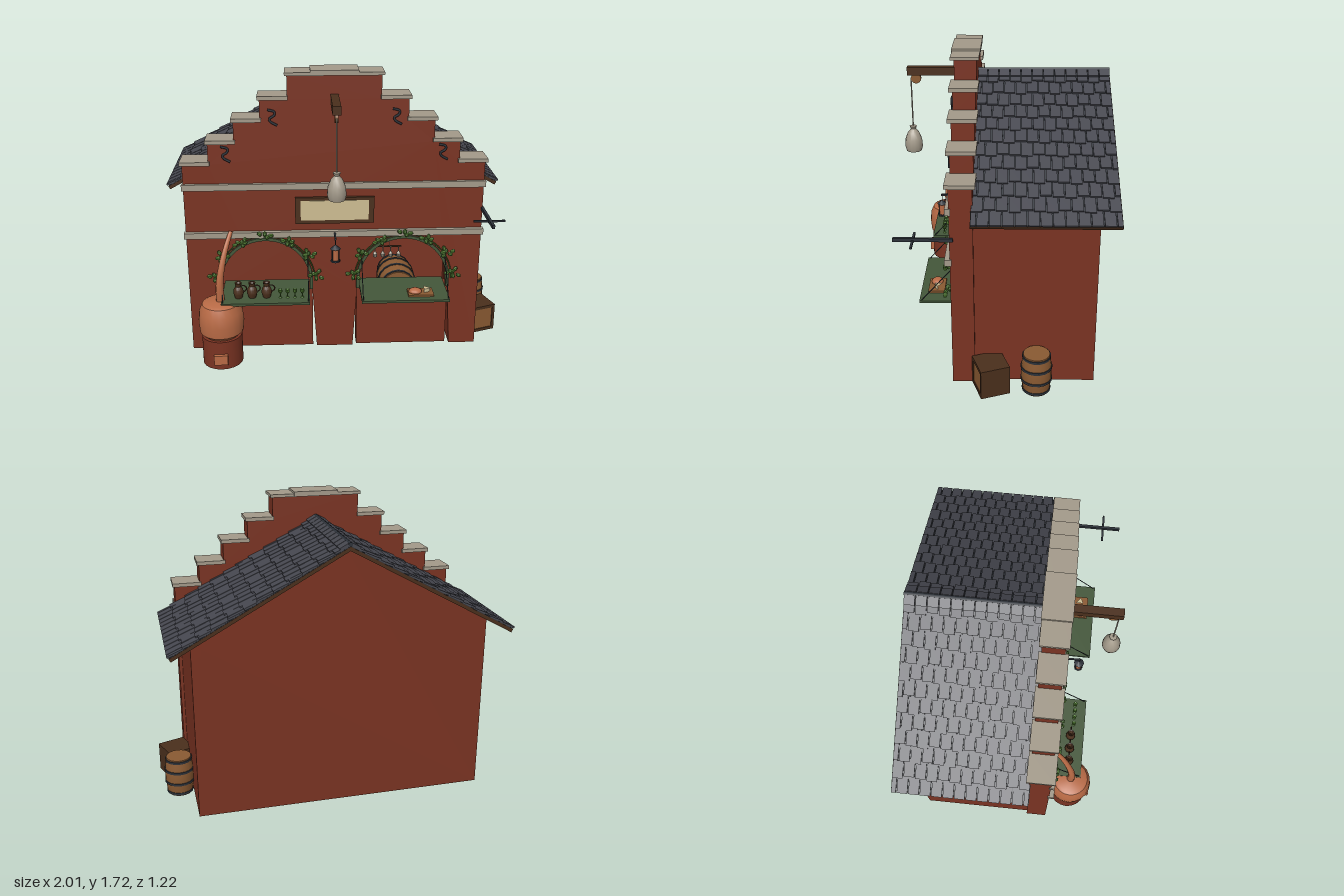
import * as THREE from 'three';
import { mergeGeometries, toCreasedNormals } from 'three/addons/utils/BufferGeometryUtils.js';

const mat = (name, color) => Object.assign(new THREE.MeshStandardMaterial({ color }), { name });
const brick = mat('brick', 0x7a3322), stone = mat('stone', 0xa39a8a), slate = mat('slate', 0x46474f);
const iron = mat('iron', 0x2d3239), darkWood = mat('dark wood', 0x4a2f1c), oak = mat('oak', 0x8a5a32);
const copper = mat('copper', 0xb86a45), green = mat('painted green', 0x44573a);
const leafGreen = mat('leaf green', 0x4f7a30), cream = mat('cream', 0xcdbd92);

const CX = -0.03;            // centre line of the building
const FRONT = 0.29, BACK = 0.165; // front and back of the facade

function add(parent, name, geo, material, x = 0, y = 0, z = 0) {
  const m = new THREE.Mesh(geo, material);
  m.name = name;
  m.position.set(x, y, z);
  parent.add(m);
  return m;
}
function group(parent, name, x = 0, y = 0, z = 0) {
  const g = new THREE.Group();
  g.name = name;
  g.position.set(x, y, z);
  parent.add(g);
  return g;
}
// box given by its extents
function block(parent, name, material, x0, x1, y0, y1, z0, z1) {
  return add(parent, name, new THREE.BoxGeometry(x1 - x0, y1 - y0, z1 - z0), material,
    (x0 + x1) / 2, (y0 + y1) / 2, (z0 + z1) / 2);
}
const lathe = (pts, n = 16) => toCreasedNormals(
  new THREE.LatheGeometry(pts.map(p => new THREE.Vector2(...p)), n), 0.6);
const v3 = p => new THREE.Vector3(...p);
// round tube along points, narrowing from r0 to r1
function pipe(pts, r0, r1 = r0, sides = 6, steps = 14) {
  const curve = new THREE.CatmullRomCurve3(pts.map(v3));
  const g = new THREE.TubeGeometry(curve, steps, r0, sides);
  const p = g.attributes.position, v = new THREE.Vector3();
  for (let i = 0; i < p.count; i++) {
    const t = Math.floor(i / (sides + 1)) / steps, c = curve.getPointAt(t);
    v.fromBufferAttribute(p, i).sub(c).multiplyScalar(1 + (r1 / r0 - 1) * t).add(c);
    p.setXYZ(i, v.x, v.y, v.z);
  }
  return g;
}
function barrel(parent, name, h, r) {
  const g = group(parent, name), e = r * 0.86;
  const at = t => e + (r - e) * Math.sin(Math.PI * t);
  const prof = [0, 0.2, 0.4, 0.6, 0.8, 1].map(t => [at(t), t * h]);
  add(g, 'staves', lathe([[0, 0], ...prof, [0, h]], 18), oak);
  for (const t of [0.06, 0.34, 0.66, 0.94])
    add(g, 'hoop', new THREE.CylinderGeometry(at(t) + 0.004, at(t) + 0.004, h * 0.06, 18), iron, 0, t * h, 0);
  return g;
}

function facade(root) {
  const g = group(root, 'facade', CX);
  // stepped outline with two arched openings reaching the ground
  const steps = [[0.87, 1.18], [0.72, 1.305], [0.57, 1.43], [0.42, 1.555], [0.265, 1.69]];
  const s = new THREE.Shape();
  s.moveTo(-0.87, 0);
  for (const c of [-0.41, 0.41]) {
    s.lineTo(c - 0.3, 0); s.lineTo(c - 0.275, 0.39); s.lineTo(c - 0.27, 0.45);
    s.absarc(c, 0.45, 0.27, Math.PI, 0, true);
    s.lineTo(c + 0.275, 0.39); s.lineTo(c + 0.3, 0);
  }
  s.lineTo(0.87, 0);
  for (const [w, y] of steps) { s.lineTo(w, y); const n = steps.find(q => q[1] > y); if (n) s.lineTo(n[0], y); }
  for (const [w, y] of [...steps].reverse()) { const n = steps.find(q => q[1] > y); if (n) s.lineTo(-n[0], y); s.lineTo(-w, y); }
  add(g, 'steppedWall', new THREE.ExtrudeGeometry(s, { depth: FRONT - BACK, bevelEnabled: false, curveSegments: 20 }), brick, 0, 0, BACK);
  // stone caps on each step
  steps.forEach(([w, y], i) => {
    if (i === 4) return;
    for (const k of [-1, 1]) {
      const a = k * (w + 0.012), b = k * (w - 0.16);
      block(g, 'stepCap', stone, Math.min(a, b), Math.max(a, b), y, y + 0.022, 0.15, 0.31);
    }
  });
  block(g, 'topCap', stone, -0.278, 0.278, 1.69, 1.708, 0.15, 0.31);
  block(g, 'crownCap', stone, -0.135, 0.135, 1.695, 1.72, 0.147, 0.313);
  block(g, 'upperBand', stone, -0.878, 0.878, 1.03, 1.068, 0.28, 0.31);
  block(g, 'lowerBand', stone, -0.878, 0.878, 0.737, 0.773, 0.28, 0.318);
  // sign board
  block(g, 'signFrame', darkWood, -0.23, 0.23, 0.82, 0.98, FRONT, 0.31);
  block(g, 'signPanel', cream, -0.198, 0.198, 0.842, 0.963, 0.308, 0.314);
  // wrought wall anchors
  for (const [x, y] of [[-0.35, 1.455], [0.35, 1.455], [-0.62, 1.245], [0.62, 1.245]])
    add(g, 'wallAnchor', pipe([[-0.025, 0.045, 0], [0.015, 0.032, 0], [0.012, 0.012, 0], [-0.014, -0.006, 0],
      [-0.01, -0.022, 0], [0.028, -0.045, 0]], 0.007, 0.007, 6, 20), iron, x, y, 0.298);
}

function stall(root, x, name) {
  const g = group(root, name, x);
  block(g, 'counterPanel', brick, -0.277, 0.277, 0, 0.385, BACK + 0.01, FRONT - 0.015);
  block(g, 'counter', green, -0.258, 0.258, 0.383, 0.398, 0.17, 0.487);
  // arch trim
  const s = new THREE.Shape();
  s.moveTo(0.28, 0.395); s.lineTo(0.28, 0.45); s.absarc(0, 0.45, 0.28, 0, Math.PI, false);
  s.lineTo(-0.28, 0.395); s.lineTo(-0.262, 0.395); s.lineTo(-0.262, 0.45);
  s.absarc(0, 0.45, 0.262, Math.PI, 0, true); s.lineTo(0.262, 0.395);
  add(g, 'archTrim', new THREE.ExtrudeGeometry(s, { depth: 0.04, bevelEnabled: false, curveSegments: 20 }), green, 0, 0, 0.262);
  for (const k of [-1, 1])
    add(g, 'counterStay', pipe([[k * 0.25, 0.61, 0.29], [k * 0.25, 0.398, 0.475]], 0.003, 0.003, 5, 1), iron);
  // vine clusters around the arch
  const leaf = new THREE.IcosahedronGeometry(0.017, 0);
  leaf.scale(1.1, 0.75, 0.8);
  const parts = [];
  for (let i = 0; i < 7; i++) {
    const a = Math.PI * (0.05 + 0.9 * i / 6), r = 0.3 + 0.012 * (i % 2);
    for (let j = 0; j < 6; j++) {
      const b = j * 2.4 + i, q = 0.011 * Math.sqrt(j) * 1.3;
      parts.push(leaf.clone().rotateZ(b).translate(r * Math.cos(a) + 1.25 * q * Math.cos(b),
        0.45 + r * Math.sin(a) * 0.97 + 0.8 * q * Math.sin(b), 0.306 + 0.013 * (j % 3)));
    }
  }
  add(g, 'vineLeaves', mergeGeometries(parts), leafGreen);
  add(g, 'vineStem', new THREE.TorusGeometry(0.292, 0.004, 5, 28, Math.PI), leafGreen, 0, 0.45, 0.3);
  return g;
}

function house(root) {
  const g = group(root, 'house', CX);
  const H = 1.055, W = 0.85;
  for (const k of [-1, 1]) block(g, 'sideWall', brick, k * (W - 0.03) - 0.03, k * (W - 0.03) + 0.03, 0, H, -0.5, BACK);
  const s = new THREE.Shape([[-W, 0], [W, 0], [W, H], [0, 1.53], [-W, H]].map(p => new THREE.Vector2(...p)));
  add(g, 'backWall', new THREE.ExtrudeGeometry(s, { depth: 0.06, bevelEnabled: false }), brick, 0, 0, -0.5);

  // roof: one slope built facing +x, then turned round for the other side
  const L = 0.775, A = Math.atan(0.555), S = 1.11, rows = 12, cols = 12;
  const roof = group(g, 'roof', 0, 1.555, -0.2125);
  const deck = new THREE.BoxGeometry(S, 0.02, L).translate(S / 2, -0.01, 0).rotateZ(-A);
  const tiles = [], step = S / rows, tw = L / cols;
  for (let i = 0; i < rows; i++) {
    for (let j = 0; j <= cols; j++) {
      const off = i % 2 ? 0.5 : 0;
      const z0 = Math.max(0, j - off) * tw, z1 = Math.min(cols, j + 1 - off) * tw;
      if (z1 - z0 < 0.01) continue;
      const slip = 0.007 * ((i * 7 + j * 5) % 3 - 1) * (i < rows - 1 ? 1 : 0);
      tiles.push(new THREE.BoxGeometry(step + 0.008, 0.011, z1 - z0 - 0.006).rotateZ(0.09)
        .translate((i + 0.5) * step + slip, 0.007, (z0 + z1) / 2 - L / 2).rotateZ(-A));
    }
  }
  const cover = mergeGeometries(tiles);
  const bed = new THREE.BoxGeometry(S - 0.01, 0.004, L - 0.004).translate(S / 2, 0.001, 0).rotateZ(-A);
  for (const turn of [0, Math.PI]) {
    const side = group(roof, 'roofSlope');
    side.rotation.y = turn;
    add(side, 'deck', deck, darkWood);
    add(side, 'underlay', bed, iron);
    add(side, 'tiles', cover, slate);
    for (let j = 0; j < cols; j++)
      add(side, 'ridgeTile', new THREE.BoxGeometry(0.055, 0.012, tw - 0.005).translate(0.028, 0.016, 0).rotateZ(-A),
        slate, 0, 0, (j + 0.5) * tw - L / 2);
  }
  add(roof, 'ridgeRoll', new THREE.CylinderGeometry(0.012, 0.012, L, 8).rotateX(Math.PI / 2), iron, 0, 0.012, 0);
}

function hoist(root) {
  const g = group(root, 'hoist', CX);
  block(g, 'beam', darkWood, -0.023, 0.023, 1.535, 1.583, 0.2, 0.585);
  add(g, 'pulley', new THREE.CylinderGeometry(0.03, 0.03, 0.02, 16).rotateZ(Math.PI / 2), oak, 0, 1.512, 0.535);
  add(g, 'rope', new THREE.CylinderGeometry(0.004, 0.004, 0.31, 6), stone, 0, 1.36, 0.565);
  add(g, 'sack', lathe([[0, 0], [0.046, 0], [0.054, 0.03], [0.05, 0.075], [0.034, 0.115], [0.015, 0.138], [0.022, 0.155], [0, 0.158]], 14),
    stone, 0, 1.06, 0.565);
}

function still(root) {
  const g = group(root, 'still', -0.705, 0, 0.425);
  add(g, 'furnace', new THREE.CylinderGeometry(0.119, 0.119, 0.178, 20), brick, 0, 0.089, 0);
  block(g, 'fireDoor', copper, -0.04, 0.04, 0.04, 0.1, 0.1, 0.137);
  add(g, 'pot', lathe([[0, 0.178], [0.1, 0.178], [0.128, 0.205], [0.134, 0.27], [0.127, 0.335], [0.108, 0.38], [0.09, 0.39], [0, 0.395]], 20), copper);
  add(g, 'swanNeck', pipe([[0, 0.38, 0], [0, 0.5, 0], [0.015, 0.6, -0.02], [0.04, 0.7, -0.06], [0.068, 0.78, -0.115]], 0.026, 0.012, 10), copper);
}

export function createModel() {
  const root = new THREE.Group();
  root.name = 'steppedGableShop';
  house(root);
  facade(root);
  hoist(root);
  still(root);

  // left stall: jugs and small green cups
  const left = stall(root, CX - 0.41, 'leftStall');
  const jug = lathe([[0, 0], [0.022, 0], [0.031, 0.03], [0.027, 0.055], [0.016, 0.072], [0.021, 0.095], [0.014, 0.092], [0, 0.07]], 12);
  for (const x of [-0.16, -0.08, 0.005]) {
    add(left, 'jug', jug, darkWood, x, 0.398, 0.4);
    add(left, 'jugHandle', new THREE.TorusGeometry(0.02, 0.004, 5, 10), darkWood, x + 0.028, 0.455, 0.4);
  }
  const cup = lathe([[0, 0], [0.01, 0], [0.003, 0.006], [0.003, 0.025], [0.013, 0.038], [0.012, 0.055], [0, 0.045]], 10);
  for (let i = 0; i < 4; i++) add(left, 'cup', cup, leafGreen, 0.085 + i * 0.043, 0.398, 0.415);

  // right stall: board with bread and cheese, hanging glasses, stored barrel
  const right = stall(root, CX + 0.41, 'rightStall');
  block(right, 'board', oak, 0.02, 0.17, 0.398, 0.41, 0.35, 0.445);
  add(right, 'bread', new THREE.SphereGeometry(0.04, 12, 8).scale(1, 0.5, 0.85), copper, 0.063, 0.415, 0.4);
  add(right, 'cheese', new THREE.CylinderGeometry(0.045, 0.045, 0.022, 6, 1, false, 0, 1), cream, 0.115, 0.421, 0.365);
  block(right, 'glassRack', darkWood, -0.18, -0.01, 0.648, 0.654, 0.262, 0.274);
  for (let i = 0; i < 4; i++) {
    const glass = add(right, 'hangingGlass', cup, stone, -0.167 + i * 0.047, 0.65, 0.268);
    glass.rotation.x = Math.PI;
    glass.scale.set(1, 1.2, 1);
  }
  add(right, 'rackCord', new THREE.CylinderGeometry(0.002, 0.002, 0.07, 5), stone, -0.08, 0.685, 0.268);
  const stored = barrel(right, 'storedBarrel', 0.28, 0.12);
  stored.rotation.x = Math.PI / 2;
  stored.position.set(0, 0.295, -0.18);

  // lantern between the stalls
  const lamp = group(root, 'lantern', CX, 0, 0.405);
  block(lamp, 'bracket', iron, -0.005, 0.005, 0.755, 0.765, -0.12, 0.005);
  add(lamp, 'hanger', new THREE.CylinderGeometry(0.002, 0.002, 0.06, 5), iron, 0, 0.735, 0);
  add(lamp, 'hood', new THREE.ConeGeometry(0.032, 0.025, 8), iron, 0, 0.713, 0);
  add(lamp, 'glow', new THREE.CylinderGeometry(0.019, 0.019, 0.075, 8), copper, 0, 0.663, 0);
  add(lamp, 'foot', new THREE.CylinderGeometry(0.028, 0.028, 0.01, 8), iron, 0, 0.625, 0);
  for (let i = 0; i < 4; i++) {
    const a = Math.PI / 4 + i * Math.PI / 2;
    add(lamp, 'cageBar', new THREE.CylinderGeometry(0.003, 0.003, 0.08, 5), iron, 0.026 * Math.cos(a), 0.664, 0.026 * Math.sin(a));
  }

  // iron bracket at the corner
  block(root, 'cornerBracket', iron, 0.832, 0.848, 0.88, 0.9, 0.27, 0.585);
  block(root, 'bracketCrossbar', iron, 0.75, 0.93, 0.88, 0.89, 0.474, 0.486);
  add(root, 'bracketKnob', new THREE.SphereGeometry(0.011, 8, 6), iron, 0.84, 0.882, 0.48);

  // crate and barrel beside the house
  const crate = group(root, 'crate', 0.895, 0, 0.075);
  crate.rotation.y = 0.34;
  block(crate, 'crateBox', darkWood, -0.0825, 0.0825, 0, 0.173, -0.0825, 0.076);
  block(crate, 'cratePanel', oak, -0.065, 0.065, 0.018, 0.155, 0.074, 0.078);
  for (const k of [-1, 1]) {
    block(crate, 'crateStile', darkWood, k * 0.074 - 0.0085, k * 0.074 + 0.0085, 0, 0.173, 0.075, 0.0835);
    block(crate, 'crateRail', darkWood, -0.07, 0.07, 0.0865 + k * 0.077 - 0.0095, 0.0865 + k * 0.077 + 0.0095, 0.075, 0.083);
  }
  barrel(root, 'sideBarrel', 0.233, 0.085).position.set(0.9, 0, -0.175);
  return root;
}
